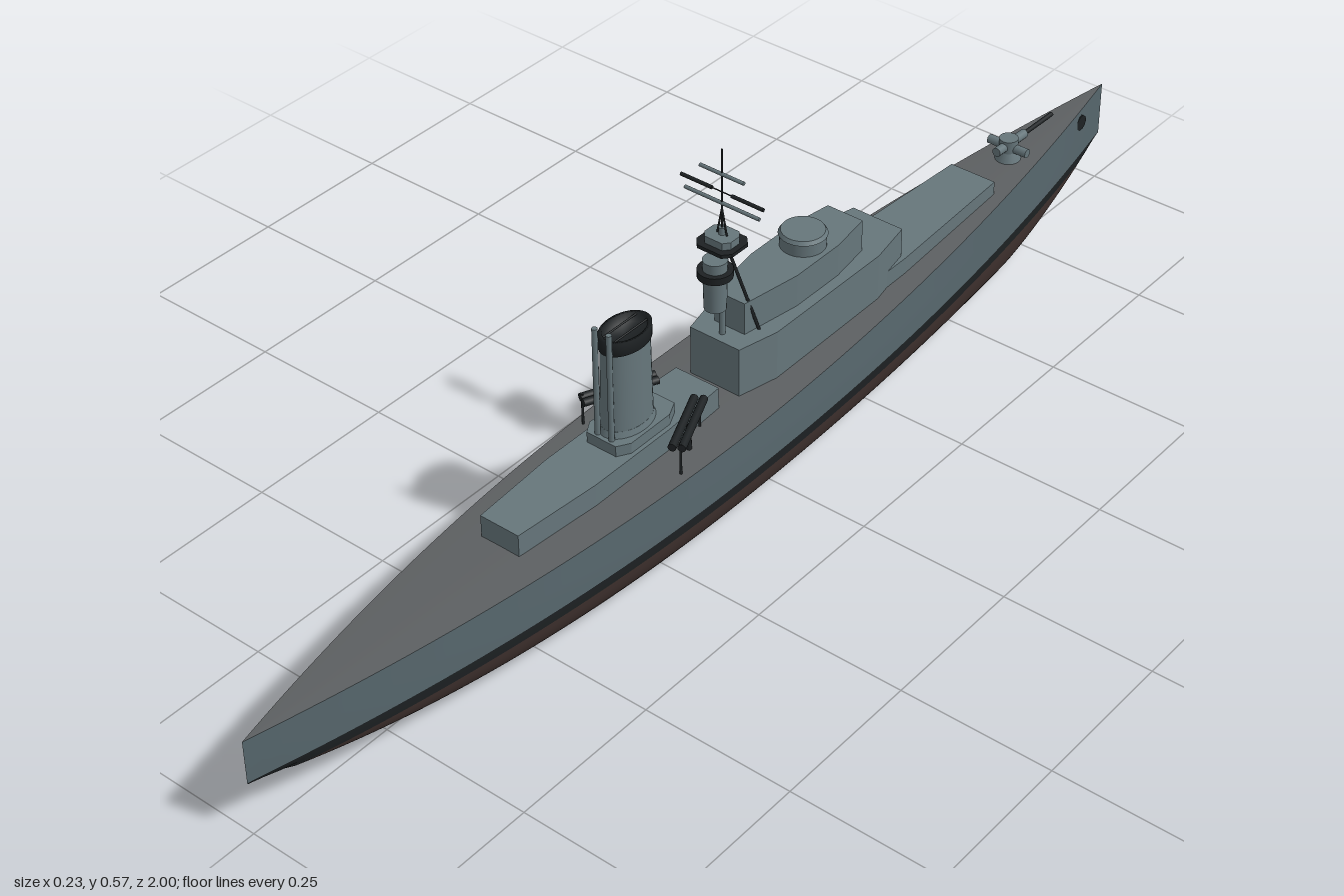
import * as THREE from 'three';

const mat = (color, side = THREE.FrontSide) => new THREE.MeshStandardMaterial({ color, side });
const HULL = mat(0x56666c, THREE.DoubleSide), HOUSE = mat(0x66767b), DECK = mat(0x5c5f61, THREE.DoubleSide);
const RED = mat(0x40322f, THREE.DoubleSide), DARK = mat(0x1d2123), BOOT = mat(0x1d2123, THREE.DoubleSide);

// Hull lines: the bow points to -z
const keelY = z => z > 0 ? 0.09 * Math.pow(z, 3.2) : z < -0.65 ? 0.09 * Math.pow((-z - 0.65) / 0.35, 1.5) : 0;
const deckY = z => 0.165 + 0.022 * Math.pow(Math.max(0, (0.1 - z) / 1.1), 1.3);
const beam = z => 0.114 * (1 - Math.pow(Math.abs(z - 0.1) / (z > 0.1 ? 0.9 : 1.1), 2));
function halfWidth(z, y) {
  const k = keelY(z), u = Math.min(1, Math.max(0, (y - k) / (0.1 - k)));
  const round = Math.pow(1 - Math.pow(1 - u, 2.7), 1 / 2.7);
  const tumble = 1 - 0.6 * Math.max(0, y - 0.1);
  return beam(z) * round * tumble;
}

export function createModel() {
  const root = new THREE.Group();
  root.name = 'warship';
  const add = (name, geo, material, x = 0, y = 0, z = 0, parent = root) => {
    const m = new THREE.Mesh(geo, material);
    m.name = name;
    m.position.set(x, y, z);
    parent.add(m);
    return m;
  };
  const cyl = (r, h, n = 20, r2 = r) => new THREE.CylinderGeometry(r2, r, h, n);
  // Round bar between two points
  const bar = (name, a, b, r, material, parent = root) => {
    const A = new THREE.Vector3(...a), B = new THREE.Vector3(...b);
    const m = add(name, cyl(r, A.distanceTo(B), 10), material, 0, 0, 0, parent);
    m.position.copy(A).add(B).multiplyScalar(0.5);
    m.quaternion.setFromUnitVectors(new THREE.Vector3(0, 1, 0), B.sub(A).normalize());
    return m;
  };
  // Surface from a grid of points
  const grid = (rows, cols, point, flip) => {
    const pos = [], idx = [];
    for (let i = 0; i <= rows; i++) for (let j = 0; j <= cols; j++) pos.push(...point(i / rows, j / cols));
    for (let i = 0; i < rows; i++) for (let j = 0; j < cols; j++) {
      const a = i * (cols + 1) + j, b = a + 1, c = a + cols + 1, d = c + 1;
      idx.push(...(flip ? [a, c, b, b, c, d] : [a, b, c, b, d, c]));
    }
    const g = new THREE.BufferGeometry();
    g.setAttribute('position', new THREE.Float32BufferAttribute(pos, 3));
    g.setIndex(idx);
    g.computeVertexNormals();
    return g;
  };
  // Block with a symmetric plan given as [half width, z] pairs
  const block = (name, plan, y0, y1, material = HOUSE) => {
    const pts = [...plan, ...plan.slice().reverse().map(([x, z]) => [-x, z])];
    const shape = new THREE.Shape(pts.map(([x, z]) => new THREE.Vector2(x, -z)));
    const g = new THREE.ExtrudeGeometry(shape, { depth: y1 - y0, bevelEnabled: false });
    g.rotateX(-Math.PI / 2);
    return add(name, g, material, 0, y0, 0);
  };

  // Hull bands, from keel to deck edge
  const bands = [
    ['bottom', RED, 14, keelY, z => Math.max(0.075, keelY(z))],
    ['waterlineBand', BOOT, 2, z => Math.max(0.075, keelY(z)), z => Math.max(0.092, keelY(z))],
    ['hullSide', HULL, 4, z => Math.max(0.092, keelY(z)), deckY],
  ];
  for (const s of [-1, 1]) for (const [name, material, rows, lo, hi] of bands) {
    add(name, grid(rows, 80, (u, v) => {
      const z = -1 + 2 * v, y = lo(z) + (hi(z) - lo(z)) * (rows > 10 ? u * u : u);
      return [s * halfWidth(z, y), y, z];
    }, s > 0), material);
  }
  add('deck', grid(4, 80, (u, v) => {
    const z = -1 + 2 * v, t = 2 * u - 1;
    return [t * halfWidth(z, deckY(z)), deckY(z) + 0.003 * (1 - t * t) * beam(z) / 0.114, z];
  }, false), DECK);

  // Superstructure tiers
  block('forwardDeckhouse', [[0.042, -0.62], [0.056, -0.36], [0.056, -0.3]], 0.15, 0.202);
  block('bridgeLowerTier', [[0.047, -0.36], [0.062, -0.28], [0.062, -0.03], [0.046, 0.04]], 0.15, 0.252);
  block('bridgeUpperTier', [[0.033, -0.275], [0.044, -0.2], [0.044, -0.1], [0.028, 0.005]], 0.25, 0.307);
  add('controlTower', cyl(0.036, 0.022, 28), HOUSE, 0, 0.317, -0.17);
  add('controlTowerRoof', cyl(0.038, 0.006, 28, 0.034), HOUSE, 0, 0.331, -0.17);
  block('aftDeckhouse', [[0.04, 0.08], [0.046, 0.2], [0.046, 0.36], [0.035, 0.51]], 0.15, 0.204);
  block('funnelBase', [[0.027, 0.165], [0.039, 0.19], [0.039, 0.275], [0.027, 0.295]], 0.2, 0.222);

  // Oval funnel with open dark cap
  const funnel = new THREE.Group();
  funnel.name = 'funnel';
  funnel.position.z = 0.238;
  funnel.scale.z = 1.5;
  root.add(funnel);
  add('funnelCasing', cyl(0.031, 0.15, 36, 0.029), HOUSE, 0, 0.295, 0, funnel);
  add('funnelFoot', cyl(0.034, 0.012, 36, 0.031), HOUSE, 0, 0.226, 0, funnel);
  const cap = [[0.024, 0.362], [0.031, 0.364], [0.031, 0.386], [0.026, 0.386], [0.025, 0.372], [0, 0.37]];
  add('funnelCap', new THREE.LatheGeometry(cap.map(p => new THREE.Vector2(...p)), 36), BOOT, 0, 0, 0, funnel);
  for (const s of [-1, 1]) {
    bar('steamPipe', [s * 0.013, 0.21, 0.287], [s * 0.013, 0.406, 0.287], 0.0045, HOUSE);
    bar('funnelGrating', [s * 0.01, 0.384, 0.2], [s * 0.01, 0.384, 0.276], 0.0015, DARK);
  }

  // Tripod mast with spotting top
  const mz = 0.022;
  bar('mast', [0, 0.25, mz], [0, 0.44, mz], 0.005, HOUSE);
  bar('topmast', [0, 0.43, mz], [0, 0.572, mz], 0.0015, DARK);
  add('lookoutPost', cyl(0.017, 0.085, 20, 0.019), HOUSE, 0, 0.35, 0.038);
  add('lookoutRing', cyl(0.027, 0.012, 20), DARK, 0, 0.37, 0.038);
  block('mastPlatform', [[0.022, mz - 0.03], [0.033, mz - 0.018], [0.033, mz + 0.018], [0.022, mz + 0.03]], 0.41, 0.416, DARK);
  block('spottingTop', [[0.016, mz - 0.02], [0.024, mz - 0.01], [0.024, mz + 0.01], [0.016, mz + 0.02]], 0.416, 0.428);
  for (const s of [-1, 1]) {
    bar('mastLeg', [s * 0.008, 0.412, mz], [s * 0.036, 0.25, -0.02], 0.0025, DARK);
    bar('topmastStay', [s * 0.009, 0.427, mz], [0, 0.472, mz], 0.0015, DARK);
    bar('yardTip', [s * 0.018, 0.5, mz], [s * 0.075, 0.5, mz], 0.003, DARK);
  }
  bar('lowerYard', [-0.068, 0.481, mz], [0.068, 0.481, mz], 0.003, HOUSE);
  bar('middleYard', [-0.02, 0.5, mz], [0.02, 0.5, mz], 0.001, DARK);
  bar('upperYard', [-0.04, 0.53, mz], [0.04, 0.53, mz], 0.003, HOUSE);

  // Angled twin tubes on posts, and hawse discs, on both sides
  for (const s of [-1, 1]) {
    for (const o of [-0.006, 0.006]) {
      bar('tube', [s * (0.04 + o), 0.213, 0.125 - o * 0.6], [s * (0.089 + o), 0.213, 0.235 - o * 0.6], 0.0065, DARK);
    }
    bar('tubePost', [s * 0.092, 0.165, 0.23], [s * 0.092, 0.22, 0.23], 0.002, DARK);
    bar('tubePost', [s * 0.066, 0.165, 0.18], [s * 0.066, 0.21, 0.18], 0.004, DARK);
    bar('tubePost', [s * 0.045, 0.165, 0.13], [s * 0.045, 0.21, 0.13], 0.002, DARK);
    const x = halfWidth(-0.91, 0.16);
    bar('hawse', [s * (x - 0.006), 0.16, -0.911], [s * (x + 0.002), 0.16, -0.911], 0.014, DARK);
  }

  // Bow gun
  add('gunPedestal', cyl(0.022, 0.02, 20, 0.014), HOUSE, 0, 0.19, -0.72);
  add('gunMount', cyl(0.016, 0.022, 16), HOUSE, 0, 0.208, -0.72);
  bar('gunTrunnion', [-0.037, 0.203, -0.72], [0.037, 0.203, -0.72], 0.008, HOUSE);
  bar('gunBreech', [0, 0.208, -0.685], [0, 0.205, -0.765], 0.008, HOUSE);
  bar('gunBarrel', [0, 0.205, -0.75], [0, 0.203, -0.845], 0.004, DARK);
  return root;
}
